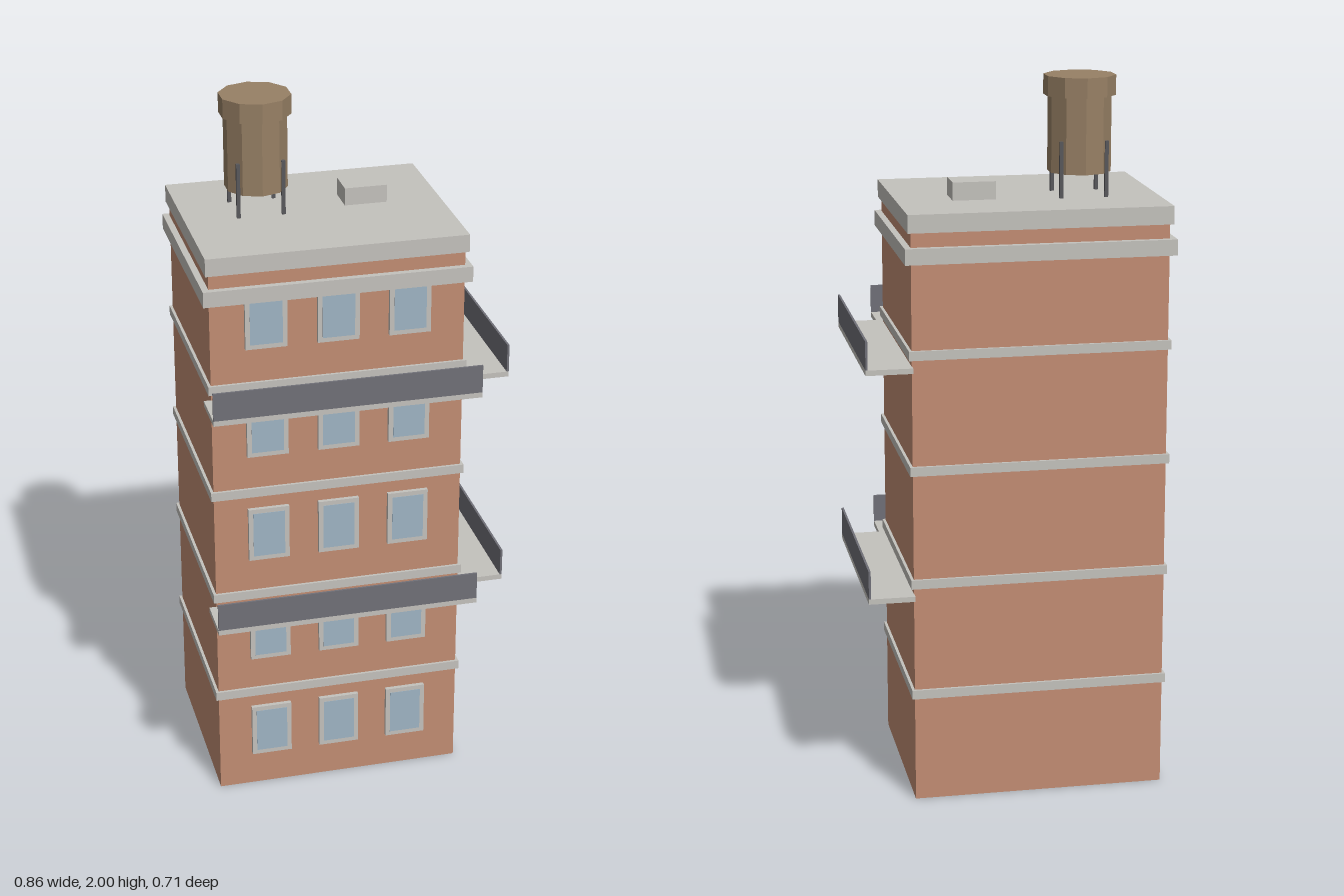
import * as THREE from 'three';

const mat = (name, color, flat = false) => {
  const m = new THREE.MeshStandardMaterial({ color, flatShading: flat });
  m.name = name;
  return m;
};

export function createModel() {
  const model = new THREE.Group();
  model.name = 'apartmentTower';
  const brick = mat('brick', 0xc28d73);
  const stone = mat('stone', 0xc4c2bd);
  const glass = mat('glass', 0x9fb4c4);
  const railing = mat('railing', 0x707078);
  const wood = mat('wood', 0x978065, true);
  const iron = mat('iron', 0x58585c);

  const add = (name, geometry, material, x, y, z, parent = model) => {
    const mesh = new THREE.Mesh(geometry, material);
    mesh.name = name;
    mesh.position.set(x, y, z);
    parent.add(mesh);
    return mesh;
  };
  // Box given by its limits on each axis
  const box = (name, material, [x0, x1], [y0, y1], [z0, z1], parent) =>
    add(name, new THREE.BoxGeometry(x1 - x0, y1 - y0, z1 - z0), material,
      (x0 + x1) / 2, (y0 + y1) / 2, (z0 + z1) / 2, parent);

  const cx = -0.056, cz = -0.056, floor = 0.3235;
  // Slab around the tower, standing out from the walls by a margin
  const course = (name, material, y0, y1, out) =>
    box(name, material, [cx - 0.354 - out, cx + 0.354 + out], [y0, y1],
      [cz - 0.277 - out, cz + 0.277 + out]);

  // Walls, floor bands, cornice and roof
  course('walls', brick, 0, 1.63, 0);
  for (let i = 1; i < 5; i++) course('floorBand', stone, floor * i - 0.021, floor * i + 0.005, 0.008);
  course('cornice', stone, 1.536, 1.58, 0.018);
  course('roof', stone, 1.62, 1.67, 0.009);
  box('roofVent', stone, [0.034, 0.154], [1.67, 1.72], [-0.153, -0.062]);

  // Front windows: a stone surround with a thin pane
  for (let i = 0; i < 5; i++) {
    for (const x of [-0.257, -0.057, 0.143]) {
      const win = new THREE.Group();
      win.name = 'window';
      win.position.set(x, 0.185 + floor * i, 0.226);
      model.add(win);
      add('windowFrame', new THREE.BoxGeometry(0.116, 0.16, 0.014), stone, 0, 0, 0, win);
      add('windowPane', new THREE.BoxGeometry(0.09, 0.134, 0.002), glass, 0, 0, 0.007, win);
    }
  }

  // Balconies along the front and the left side, on two levels
  for (const y of [0.595, 1.241]) {
    box('frontBalconyFloor', stone, [-0.43, 0.316], [y, y + 0.015], [0.22, 0.351]);
    box('frontBalconyRail', railing, [-0.43, 0.316], [y + 0.015, y + 0.095], [0.345, 0.351]);
    box('sideBalconyFloor', stone, [0.297, 0.426], [y, y + 0.015], [-0.354, 0.24]);
    box('sideBalconyRail', railing, [0.42, 0.426], [y + 0.015, y + 0.095], [-0.354, 0.24]);
  }

  // Water tank on four legs
  const tank = new THREE.Group();
  tank.name = 'waterTank';
  tank.position.set(-0.207, 0, -0.106);
  model.add(tank);
  add('tankBody', new THREE.CylinderGeometry(0.088, 0.088, 0.215, 10), wood, 0, 1.8425, 0, tank);
  add('tankLid', new THREE.CylinderGeometry(0.1, 0.1, 0.055, 10), wood, 0, 1.9725, 0, tank);
  for (const x of [-0.063, 0.063])
    for (const z of [-0.063, 0.063])
      add('tankLeg', new THREE.BoxGeometry(0.01, 0.155, 0.01), iron, x, 1.7475, z, tank);

  return model;
}
